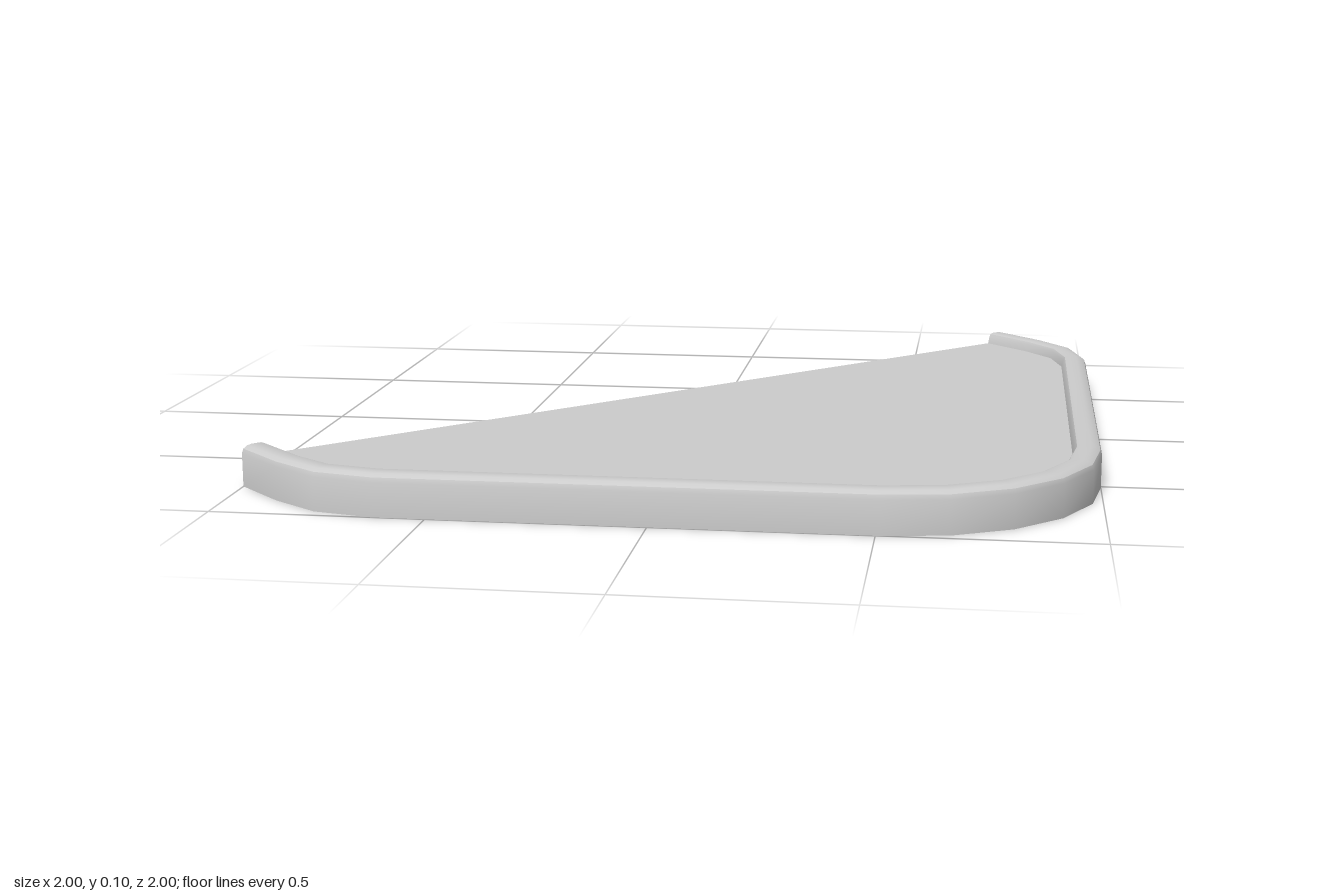
import * as THREE from 'three';
import { toCreasedNormals } from 'three/addons/utils/BufferGeometryUtils.js';

const FLOOR = 0.07;
// Rim cross-section: [distance in from the outer edge, height]
const PROFILE = [[0, 0], [0, 0.08], [0.004, 0.091], [0.015, 0.098], [0.026, 0.1], [0.05, 0.1],
  [0.058, 0.097], [0.062, 0.09], [0.067, FLOOR]];

// Outer edge from the left cut corner to the right one, symmetric about x = z
function outerPath() {
  const half = [[-1, 0.77], [-0.88, 0.885], [-0.765, 0.967], [-0.62, 1]];
  const c = 0.51, r = 0.49;
  for (let k = 0; k < 3; k++) {
    const a = k * Math.PI / 10;
    half.push([c + r * Math.sin(a), c + r * Math.cos(a)]);
  }
  const mirrored = half.map(([x, z]) => [z, x]).reverse();
  return [...half, ...mirrored].map(([x, z]) => new THREE.Vector2(x, z));
}

// Mitred inset; the ends slide along the cut
function inset(path, d) {
  const normal = (i) => {
    const e = path[i + 1].clone().sub(path[i]).normalize();
    return new THREE.Vector2(-e.y, e.x);
  };
  const cut = new THREE.Vector2(-1, 1).normalize();
  const last = path.length - 1;
  return path.map((p, i) => {
    if (i === 0) return p.clone().addScaledVector(cut, -d);
    if (i === last) return p.clone().addScaledVector(cut, d);
    const a = normal(i - 1), b = normal(i);
    return p.clone().addScaledVector(a.clone().add(b), -d / (1 + a.dot(b)));
  });
}

function rimGeometry(path) {
  const pos = [], idx = [], n = path.length;
  PROFILE.forEach(([d, y]) => inset(path, d).forEach((p) => pos.push(p.x, y, p.y)));
  for (let j = 0; j < PROFILE.length - 1; j++) {
    for (let i = 0; i < n - 1; i++) {
      const a = j * n + i, b = a + 1, c = b + n, e = a + n;
      idx.push(a, b, c, a, c, e);
    }
  }
  const g = new THREE.BufferGeometry();
  g.setAttribute('position', new THREE.Float32BufferAttribute(pos, 3));
  g.setIndex(idx);
  return toCreasedNormals(g, Math.PI / 5);
}

export function createModel() {
  const group = new THREE.Group();
  const material = new THREE.MeshStandardMaterial({ color: 0xcccccc });
  const add = (name, geometry) => {
    const mesh = new THREE.Mesh(geometry, material);
    mesh.name = name;
    group.add(mesh);
    return mesh;
  };
  const path = outerPath();

  // Raised rim around the rounded sides
  add('rim', rimGeometry(path));

  // Recessed top surface
  const inner = inset(path, PROFILE[PROFILE.length - 1][0]);
  const top = new THREE.Shape(inner.map((p) => new THREE.Vector2(p.x, -p.y)));
  add('trayFloor', new THREE.ShapeGeometry(top).rotateX(-Math.PI / 2).translate(0, FLOOR, 0));

  // Flat underside
  add('underside', new THREE.ShapeGeometry(new THREE.Shape(path)).rotateX(Math.PI / 2));

  // Straight diagonal cut, showing the rim section at both ends
  const first = path[0], last = path[path.length - 1];
  const h = first.distanceTo(last) / 2;
  const end = PROFILE.map(([d, y]) => new THREE.Vector2(h - d, y));
  const other = end.map((p) => new THREE.Vector2(-p.x, p.y)).reverse();
  const cutFace = add('cutFace', new THREE.ShapeGeometry(new THREE.Shape([...end, ...other])));
  cutFace.rotation.y = -0.75 * Math.PI;
  cutFace.position.set((first.x + last.x) / 2, 0, (first.y + last.y) / 2);

  return group;
}
